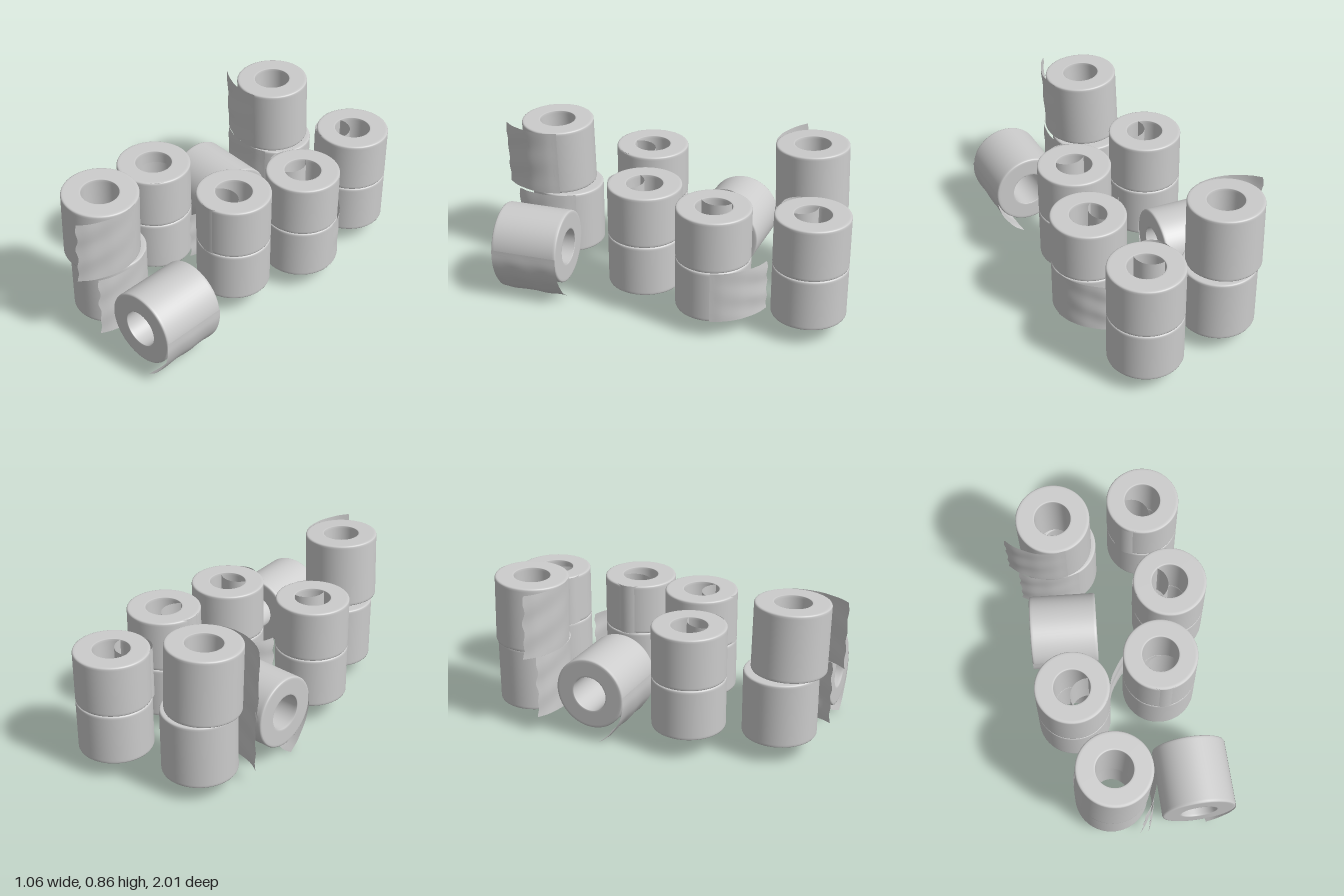
import * as THREE from 'three';

const RADIUS = 0.2, HOLE = 0.098;
const paper = new THREE.MeshStandardMaterial({ color: 0xcccccc });
const sheet = new THREE.MeshStandardMaterial({ color: 0xcccccc, side: THREE.DoubleSide });

// Wound paper: closed ring profile with softened rims and a hollow core
function rollBody(height) {
  const h = height / 2, b = 0.008, s = 0.002;
  const points = [
    [HOLE, -h + s], [HOLE + s, -h], [HOLE + 0.01, -h],
    [RADIUS - b - 0.01, -h], [RADIUS - b, -h], [RADIUS - b * 0.3, -h + b * 0.3], [RADIUS, -h + b], [RADIUS, -h + b + 0.01],
    [RADIUS, h - b - 0.01], [RADIUS, h - b], [RADIUS - b * 0.3, h - b * 0.3], [RADIUS - b, h], [RADIUS - b - 0.01, h],
    [HOLE + 0.01, h], [HOLE + s, h], [HOLE, h - s], [HOLE, h - 0.015], [HOLE, -h + 0.015], [HOLE, -h + s],
  ].map(([x, y]) => new THREE.Vector2(x, y));
  const mesh = new THREE.Mesh(new THREE.LatheGeometry(points, 64), paper);
  mesh.name = 'paperRoll';
  return mesh;
}

// Loose end: a strip that leaves the roll and curls inward, with a wavy torn edge
function looseSheet(height, angle, flip) {
  const curve = new THREE.CatmullRomCurve3([
    [0.2, 0.02], [0.198, -0.05], [0.175, -0.13], [0.14, -0.19], [0.1, -0.243], [0.05, -0.285],
  ].map(([x, y]) => new THREE.Vector3(x, 0, -y)));
  const geo = new THREE.PlaneGeometry(1, 1, 20, 20);
  const pos = geo.attributes.position;
  for (let i = 0; i < pos.count; i++) {
    const t = pos.getX(i) + 0.5, v = pos.getY(i);
    const p = curve.getPoint(t * (0.985 + 0.015 * Math.sin(v * 21)));
    const ripple = 0.004 * t * Math.sin(v * 13 + t * 4);
    pos.setXYZ(i, (p.x + ripple) * (flip ? -1 : 1), v * height * 0.995, p.z);
  }
  geo.computeVertexNormals();
  const mesh = new THREE.Mesh(geo, sheet);
  mesh.name = 'looseSheet';
  mesh.rotation.y = THREE.MathUtils.degToRad(angle);
  return mesh;
}

// Thin cardboard tube, slipped off centre
function cardTube(height, [x, z]) {
  const mesh = new THREE.Mesh(new THREE.CylinderGeometry(HOLE, HOLE, height, 48, 1, true), sheet);
  mesh.name = 'cardTube';
  mesh.position.set(x, 0, z);
  return mesh;
}

function makeRoll({ name, at, height = 0.37, turn = [0, 0, 0], sheetAngle, flip, tube }) {
  const roll = new THREE.Group();
  roll.name = name;
  roll.add(rollBody(height));
  if (sheetAngle !== undefined) roll.add(looseSheet(height, sheetAngle, flip));
  if (tube) roll.add(cardTube(height, tube));
  roll.rotation.set(...turn, 'YXZ');
  roll.position.set(...at);
  return roll;
}

export function createModel() {
  const model = new THREE.Group();
  model.name = 'paperRolls';
  const q = Math.PI / 2;

  const rolls = [
    // Tall stack at the front
    { name: 'frontStackLower', at: [-0.15, 0.29, 0.7], height: 0.36, sheetAngle: 27 },
    { name: 'frontStackUpper', at: [-0.143, 0.668, 0.742], turn: [0.01, 0, -0.04], sheetAngle: 13 },
    // Tall stack at the back
    { name: 'backStackLower', at: [-0.235, 0.28, -0.7], height: 0.36, sheetAngle: -72 },
    { name: 'backStackUpper', at: [-0.262, 0.65, -0.69], turn: [0.035, 0, 0.01], sheetAngle: -83 },
    // Rolls lying on their sides
    { name: 'frontLyingRoll', at: [0.3, 0.3, 0.715], turn: [q, 0, 0], sheetAngle: 0 },
    { name: 'sideLyingRoll', at: [-0.28, 0.288, -0.25], turn: [q, -q - 0.08, 0], sheetAngle: 0 },
  ];

  // Short stacks: position, base height, tube offset, loose sheet angle
  const stacks = [
    ['rightStack', -0.287, 0.235, 0.128, [0.08, 0.06]],
    ['middleStack', 0.203, 0.12, 0.125, [0, 0.105], -70],
    ['leftStack', 0.32, -0.295, 0.107, [-0.107, 0], -164],
    ['leftBackStack', 0.248, -0.8, 0.104, [-0.075, 0.085]],
  ];
  for (const [name, x, z, base, tube, sheetAngle] of stacks) {
    const height = 0.287;
    rolls.push({ name: name + 'Lower', at: [x, base + height / 2, z], height, sheetAngle, flip: true });
    rolls.push({ name: name + 'Upper', at: [x, base + height * 1.5 + 0.001, z], height, tube });
  }

  for (const roll of rolls) model.add(makeRoll(roll));
  return model;
}
